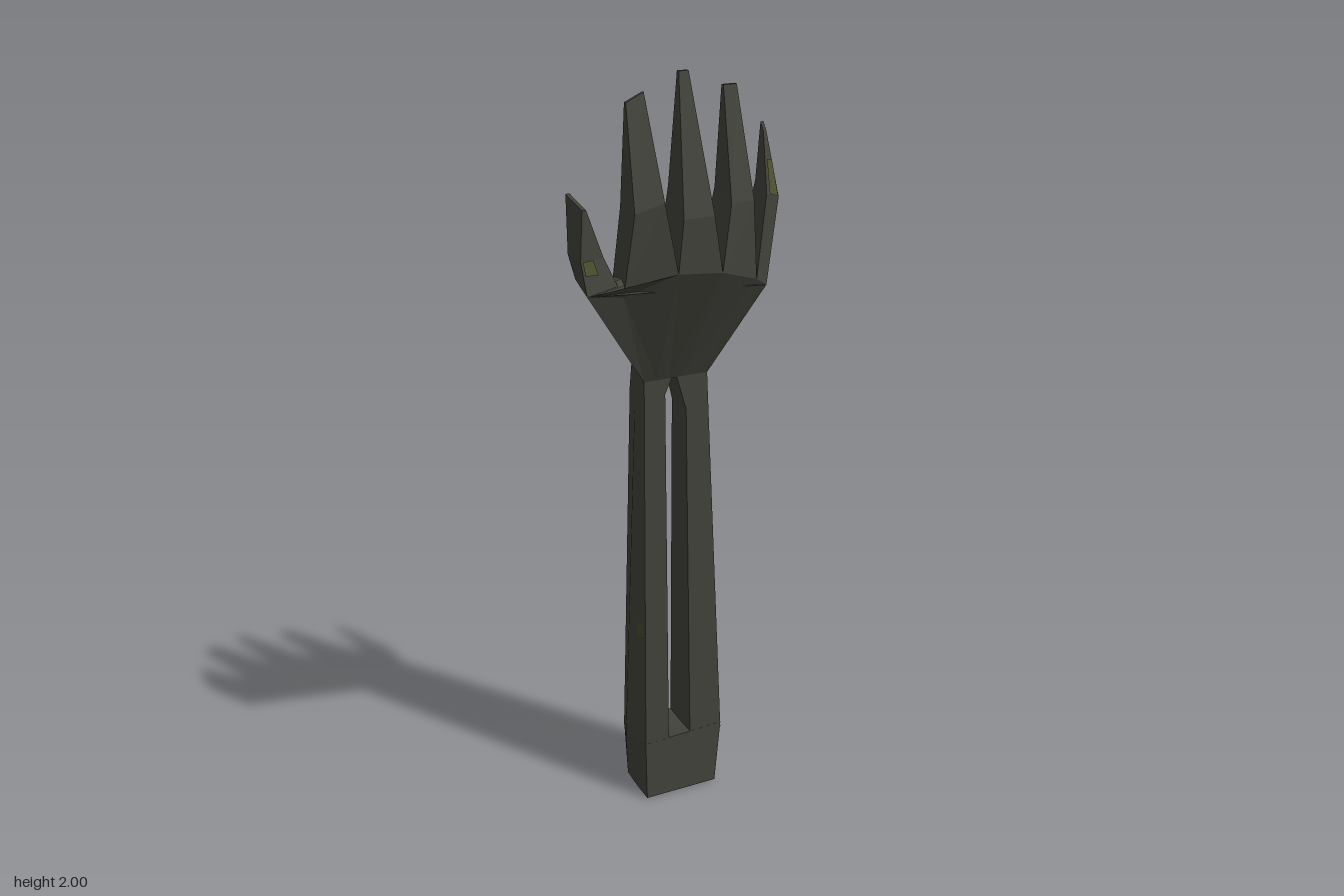
import * as THREE from 'three';

const steel = new THREE.MeshStandardMaterial({ color: 0x43433c, flatShading: true });
steel.name = 'dark metal';
const moss = new THREE.MeshStandardMaterial({ color: 0x4c5030, flatShading: true });
moss.name = 'olive stain';

const V = p => new THREE.Vector3(...p);

function meshOf(name, tris, material) {
  const g = new THREE.BufferGeometry();
  g.setAttribute('position', new THREE.Float32BufferAttribute(tris.flat(), 3));
  g.computeVertexNormals();
  const m = new THREE.Mesh(g, material);
  m.name = name;
  return m;
}

// Closed faceted solid through rings (front-left, front-right, back-right, back-left order)
function loft(name, rings) {
  const t = [], n = rings[0].length;
  for (let r = 0; r + 1 < rings.length; r++) {
    const a = rings[r], b = rings[r + 1];
    for (let i = 0; i < n; i++) {
      const j = (i + 1) % n;
      t.push(a[i], a[j], b[j], a[i], b[j], b[i]);
    }
  }
  const lo = rings[0], hi = rings[rings.length - 1];
  for (let i = 1; i + 1 < n; i++) t.push(lo[0], lo[i + 1], lo[i], hi[0], hi[i], hi[i + 1]);
  return meshOf(name, t, steel);
}

// Stain laid just above side i of a loft segment, in its own u/v range
function stain(name, lo, hi, i, u0, u1, v0, v1) {
  const j = (i + 1) % lo.length;
  const [a, b, c, d] = [lo[i], lo[j], hi[j], hi[i]].map(V);
  const n = c.clone().sub(a).cross(d.clone().sub(b)).normalize().multiplyScalar(0.004);
  const at = (u, v) => a.clone().lerp(b, u).lerp(d.clone().lerp(c, u), v).add(n).toArray();
  const p = at(u0, v0), q = at(u1, v0), r = at(u1, v1), s = at(u0, v1);
  return meshOf(name, [p, q, r, p, r, s], moss);
}

export function createModel() {
  const model = new THREE.Group();
  model.name = 'handShapedTool';

  // Foot block joining both rails
  const foot = [
    [[-.08, 0, .015], [.13, 0, .015], [.13, 0, -.12], [-.08, 0, -.12], [-.082, 0, -.05]],
    [[-.08, .175, .008], [.15, .185, .008], [.145, .18, -.12], [-.09, .18, -.12], [-.115, .175, -.05]],
  ];
  model.add(loft('foot', foot));
  const u = foot[0].map(([x, , z]) => [x, -0.001 + 0.001, z]);
  const under = [];
  for (let i = 1; i < 4; i++) under.push(u[0], u[i + 1], u[i]);
  const sole = meshOf('sole', under, moss);
  sole.position.y = -0.002;
  model.add(sole);

  // Two forearm rails that meet in a pointed arch at the wrist
  const rightRail = [
    [[-.08, .17, .008], [-.01, .17, .008], [-.01, .17, -.12], [-.09, .17, -.12], [-.115, .17, -.05]],
    [[-.061, 1.19, -.028], [-.003, 1.19, -.028], [-.003, 1.19, -.112], [-.064, 1.19, -.112], [-.068, 1.19, -.07]],
    [[-.06, 1.24, -.03], [.025, 1.25, -.03], [.025, 1.27, -.112], [-.058, 1.26, -.112], [-.062, 1.25, -.07]],
  ];
  const leftRail = [
    [[.055, .17, .008], [.15, .17, .008], [.145, .17, -.12], [.055, .17, -.12]],
    [[.055, 1.14, -.026], [.118, 1.14, -.026], [.118, 1.14, -.112], [.055, 1.14, -.112]],
    [[.025, 1.25, -.03], [.115, 1.24, -.03], [.115, 1.26, -.112], [.025, 1.27, -.112]],
  ];
  model.add(loft('rightRail', rightRail), loft('leftRail', leftRail));

  // Palm flaring from wrist to knuckles
  const front = [[-.26, 1.52, .1], [-.16, 1.5, .08], [-.035, 1.55, .118], [.08, 1.54, .12], [.19, 1.5, .085], [.22, 1.48, .08]];
  const back = [[-.245, 1.53, -.01], [-.155, 1.53, .005], [-.035, 1.56, .002], [.08, 1.56, .002], [.19, 1.55, -.004], [.235, 1.55, -.015]];
  const wristX = i => -.06 + .175 * i / 5;
  const wristFront = front.map((p, i) => [wristX(i), 1.23, -.03]);
  const wristBack = back.map((p, i) => [wristX(i), 1.26, -.113]);
  model.add(loft('palm', [
    [...wristFront, ...wristBack.reverse()],
    [...front, ...[...back].reverse()],
  ]));

  // Thumb and four fingers, each rising from one span of the knuckle line
  const digits = [
    ['thumb',
      [[-.268, 1.6, .085], [-.205, 1.6, .07], [-.205, 1.6, 0], [-.27, 1.6, .01]],
      [[-.26, 1.72, .08], [-.25, 1.72, .08], [-.25, 1.735, -.02], [-.26, 1.735, -.02]]],
    ['indexFinger',
      [[-.138, 1.7, .1], [-.062, 1.72, .1], [-.062, 1.72, .015], [-.138, 1.7, .015]],
      [[-.125, 1.94, .025], [-.078, 1.96, .02], [-.078, 1.96, .012], [-.125, 1.94, .015]]],
    ['middleFinger',
      [[-.022, 1.68, .118], [.058, 1.68, .118], [.05, 1.74, .018], [-.016, 1.74, .018]],
      [[.01, 2, .02], [.035, 2, .02], [.035, 2, .01], [.01, 2, .01]]],
    ['ringFinger',
      [[.108, 1.7, .105], [.173, 1.7, .095], [.17, 1.72, .014], [.108, 1.72, .014]],
      [[.125, 1.96, .02], [.16, 1.96, .02], [.16, 1.96, .01], [.125, 1.96, .01]]],
    ['littleFinger',
      [[.228, 1.7, .055], [.258, 1.69, .06], [.267, 1.76, -.01], [.232, 1.72, -.012]],
      [[.25, 1.835, -.01], [.258, 1.835, -.01], [.258, 1.855, -.026], [.25, 1.855, -.026]]],
  ];
  digits.forEach(([name, mid, tip], k) => {
    const base = [front[k], front[k + 1], back[k + 1], back[k]];
    model.add(loft(name, [base, mid, tip]));
    if (name === 'thumb') model.add(stain('thumbStain', base, mid, 0, .05, .5, .6, 1));
    if (name === 'littleFinger') model.add(stain('littleFingerStain', mid, tip, 0, .2, .9, 0, .55));
  });

  // Olive stains on the rails
  model.add(
    stain('railSideStain', leftRail[0], leftRail[1], 1, .22, .62, .27, .44),
    stain('railBackStain', leftRail[0], leftRail[1], 2, .55, .95, .41, .47),
    stain('railEdgeStain', rightRail[0], rightRail[1], 4, .6, .95, .33, .37),
    stain('railRearStain', rightRail[0], rightRail[1], 2, .6, .95, .39, .43),
  );
  return model;
}
